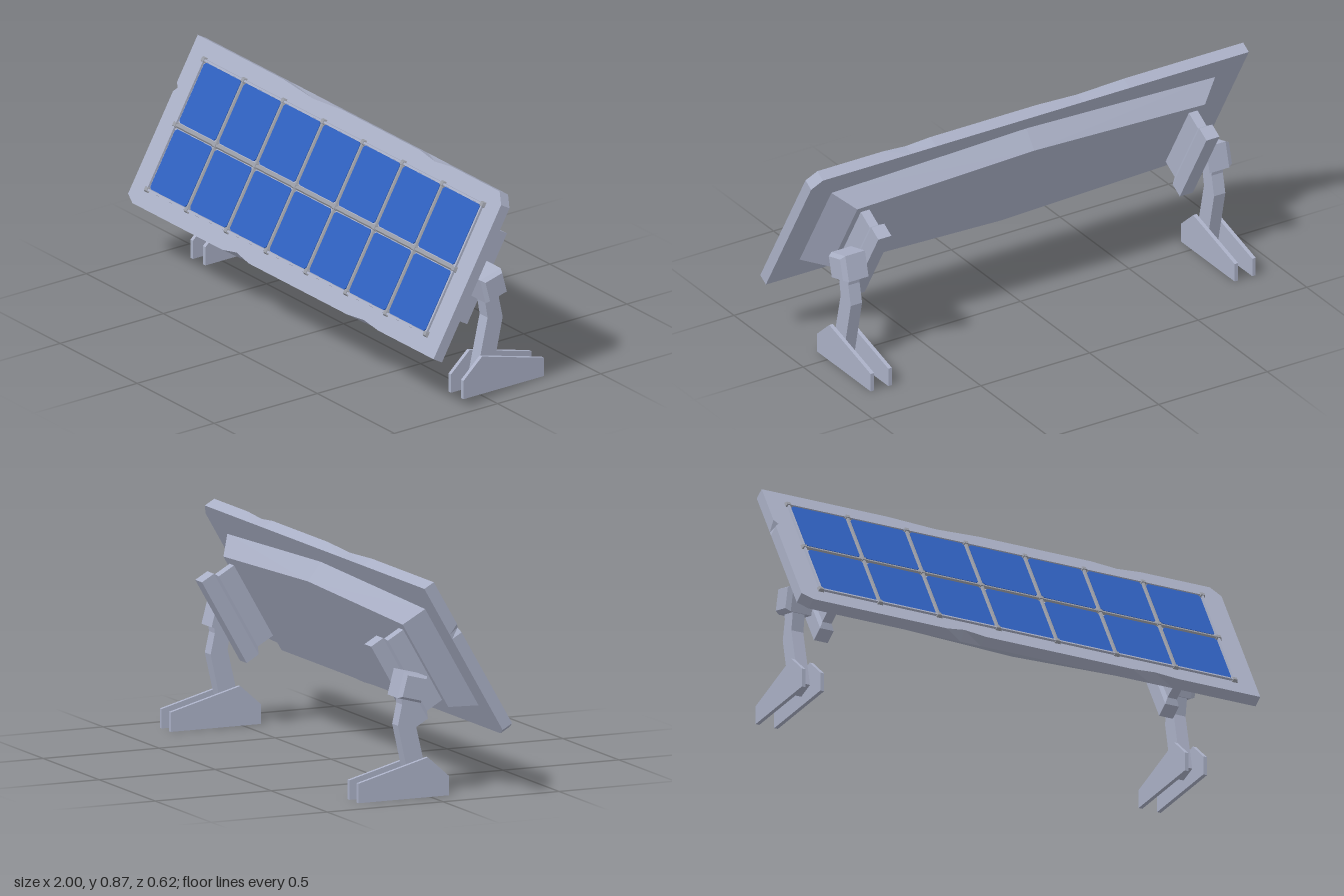
import * as THREE from 'three';
import { ConvexGeometry } from 'three/addons/geometries/ConvexGeometry.js';

const material = (name, color) => {
  const m = new THREE.MeshStandardMaterial({ color });
  m.name = name;
  return m;
};

export function createModel() {
  const metal = material('pale metal', 0xaab0c6);
  const barGrey = material('bar grey', 0x9a9da6);
  const cellBlue = material('cell blue', 0x2f60bf);
  const model = new THREE.Group();
  model.name = 'solarPanel';

  const add = (parent, name, geo, mat) => {
    const mesh = new THREE.Mesh(geo.index ? geo.toNonIndexed() : geo, mat);
    mesh.geometry.computeVertexNormals();
    mesh.name = name;
    parent.add(mesh);
    return mesh;
  };
  const polygon = pts => new THREE.Shape(pts.map(p => new THREE.Vector2(...p)));
  const flat = (pts, depth) =>
    new THREE.ExtrudeGeometry(polygon(pts), { depth, bevelEnabled: false });
  // side profile given as [z, y], centred on x with the given width
  const sidePlate = (pts, width, x) =>
    flat(pts, width).translate(0, 0, -width / 2).rotateY(-Math.PI / 2).translate(x, 0, 0);
  // rectangular frustum along z between two rings [z, halfX, halfY]
  const frustum = rings => new ConvexGeometry(rings.flatMap(([z, hx, hy]) =>
    [[-hx, -hy], [hx, -hy], [hx, hy], [-hx, hy]].map(([x, y]) => new THREE.Vector3(x, y, z))));

  // Tilted panel; its front face lies on local z = 0
  const panel = new THREE.Group();
  panel.name = 'panel';
  panel.position.set(0, 0.5675, 0.135);
  panel.rotation.x = -Math.PI / 6;
  model.add(panel);

  // Frame slab with small worn dents along the front edges
  const T = 0.047;
  const outline = [
    [-0.955, -0.35], [-0.37, -0.35], [-0.29, -0.334], [-0.2, -0.35], [0.44, -0.35],
    [0.54, -0.339], [0.64, -0.35], [1, -0.35], [1, 0.305], [0.96, 0.35],
    [0.66, 0.35], [0.55, 0.337], [0.44, 0.35], [-0.05, 0.35], [-0.24, 0.336],
    [-0.45, 0.35], [-1, 0.35], [-1, 0.15], [-0.984, 0.13], [-1, 0.11], [-1, -0.325]];
  const frame = flat(outline, T).translate(0, 0, -T);
  const pos = frame.attributes.position;
  for (let i = 0; i < pos.count; i++) {
    if (pos.getZ(i) > -T / 2) continue;
    const x = pos.getX(i), y = pos.getY(i);
    if (Math.abs(y) > 0.33) pos.setY(i, Math.sign(y) * 0.35);
    if (Math.abs(x) > 0.98) pos.setX(i, Math.sign(x));
  }
  add(panel, 'panelFrame', frame, metal);

  // Rear housing, tapered and slightly bowed in the middle
  const housing = [];
  for (const [z, hx, end, mid] of [[-T + 0.002, 0.885, 0.231, 0.277], [-0.132, 0.8, 0.197, 0.241]])
    for (const s of [-1, 1])
      housing.push(new THREE.Vector3(-hx, s * end, z), new THREE.Vector3(0, s * mid, z),
        new THREE.Vector3(hx, s * end, z));
  add(panel, 'rearHousing', new ConvexGeometry(housing), metal);

  // Solar cells with clipped corners, seven by two
  const pitch = 0.2585, hw = 0.118, hh = 0.128, c = 0.01;
  const cellShape = [
    [-hw + c, -hh], [hw - c, -hh], [hw, -hh + c], [hw, hh - c],
    [hw - c, hh], [-hw + c, hh], [-hw, hh - c], [-hw, -hh + c]];
  for (let col = -3; col <= 3; col++)
    for (const row of [-1, 1])
      add(panel, 'solarCell', flat(cellShape, 0.005), cellBlue)
        .position.set(col * pitch, row * 0.141, 0);

  // Raised dividing bars and the studs where they cross
  for (let i = 0; i <= 7; i++) {
    const x = (i - 3.5) * pitch, edge = i === 0 || i === 7;
    add(panel, 'verticalBar', frustum([[0, edge ? 0.005 : 0.01, 0.278], [0.009, 0.004, 0.274]]),
      edge ? metal : barGrey).position.x = x;
    for (const y of [-0.275, 0, 0.275])
      add(panel, 'barStud', frustum([[0, 0.013, 0.012], [0.012, 0.008, 0.007]]), barGrey)
        .position.set(x, y, 0);
  }
  for (const y of [-0.275, 0, 0.275])
    add(panel, 'horizontalBar', frustum([[0, 0.903, y ? 0.005 : 0.01], [0.009, 0.9, 0.004]]),
      y ? metal : barGrey).position.y = y;

  // Mirrored supports
  for (const s of [-1, 1]) {
    const side = s > 0 ? 'left' : 'right';

    // Bracket on the back of the housing
    add(panel, side + 'BracketNeck',
      frustum([[-0.125, 0.02, 0.168], [-0.21, 0.02, 0.168]]), metal).position.x = s * 0.755;
    add(panel, side + 'BracketPlate',
      frustum([[-0.208, 0.02, 0.168], [-0.223, 0.03, 0.193], [-0.283, 0.03, 0.193]]), metal)
      .position.x = s * 0.755;

    const support = new THREE.Group();
    support.name = side + 'Support';
    model.add(support);

    // Hinge block with a bevelled outer face
    const hinge = add(support, 'hingeBlock',
      frustum([[-0.055, 0.052, 0.053], [0.035, 0.052, 0.053], [0.055, 0.042, 0.043]]), metal);
    hinge.position.set(s * 0.84, 0.437, -0.072);
    hinge.rotation.order = 'YXZ';
    hinge.rotation.set(0, s * Math.PI / 2, s * 0.26);

    // Bent leg
    add(support, 'leg', sidePlate([
      [-0.035, 0.42], [-0.115, 0.41], [-0.11, 0.37], [-0.128, 0.287],
      [-0.072, 0.035], [0.002, 0.055], [-0.055, 0.302], [-0.04, 0.39]], 0.052, s * 0.836), metal);

    // Pair of foot plates
    for (const x of [0.797, 0.878])
      add(support, 'footPlate', sidePlate([
        [0.08, 0], [0.08, 0.077], [-0.01, 0.157], [-0.31, 0.077], [-0.31, 0]], 0.016, s * x), metal);
  }
  return model;
}
